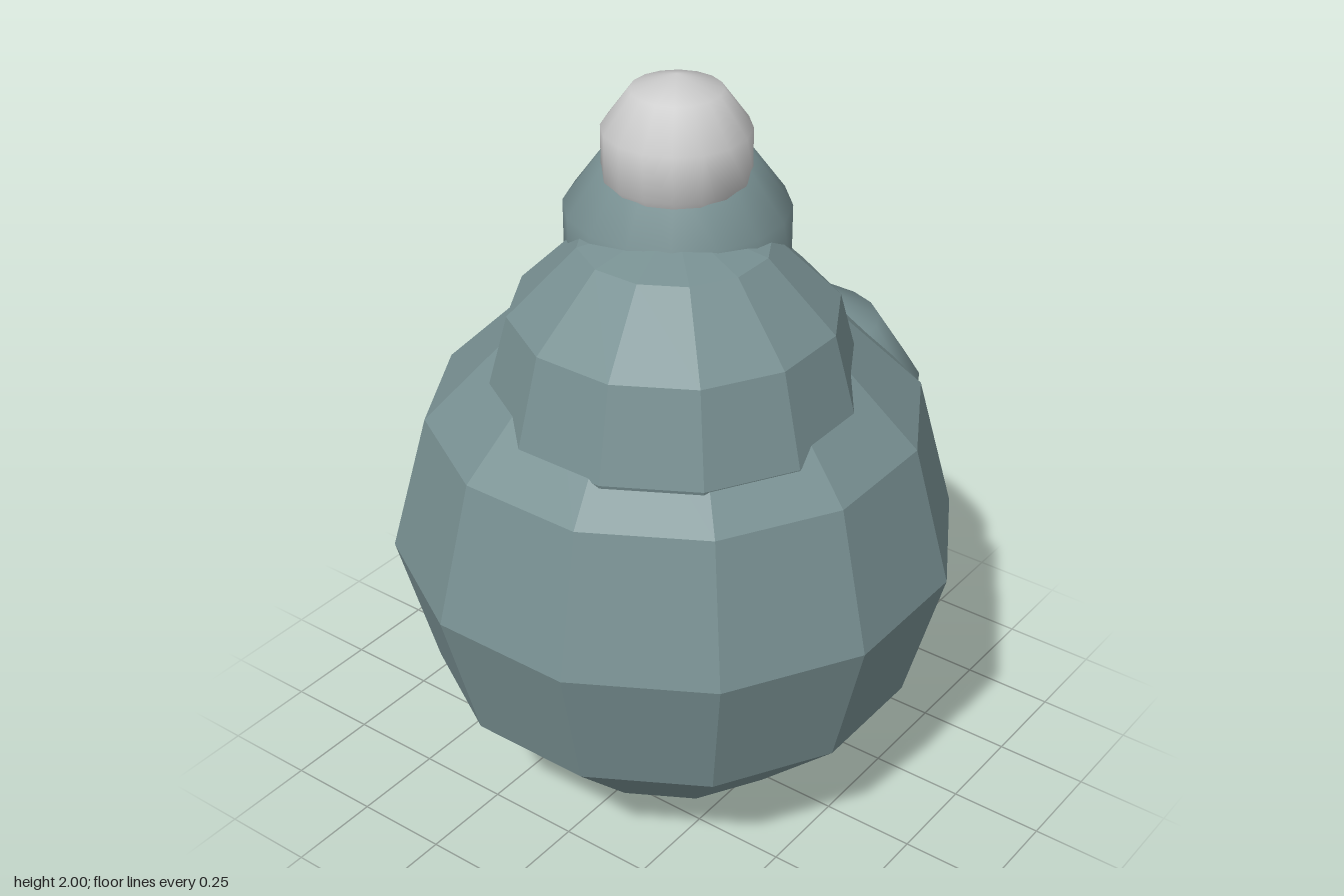
import * as THREE from 'three';

export function createModel() {
  const group = new THREE.Group();
  const teal = 0x789092;

  // One ball: centre, radii, segment counts, shading
  function ball(name, [x, y, z], [rx, ry, rz], segs, rows, color, flat) {
    const geometry = new THREE.SphereGeometry(1, segs, rows);
    geometry.rotateY(Math.PI / segs); // a flat side faces each axis
    geometry.scale(rx, ry, rz);
    const material = new THREE.MeshStandardMaterial({ color, flatShading: flat });
    const mesh = new THREE.Mesh(geometry, material);
    mesh.name = name;
    mesh.position.set(x, y, z);
    group.add(mesh);
  }

  // Large faceted belly and shoulders
  ball('belly', [-0.02, 0.745, 0], [0.74, 0.74, 0.74], 12, 6, teal, true);
  ball('shoulders', [-0.09, 1.2, 0.05], [0.478, 0.478, 0.478], 12, 6, teal, true);

  // Smooth-shaded head, side bump and pale top knob
  ball('head', [0.04, 1.55, -0.04], [0.297, 0.297, 0.3], 16, 5, teal, false);
  ball('sideBump', [0.47, 0.915, 0.075], [0.28, 0.34, 0.335], 16, 5, teal, false);
  ball('topKnob', [0, 1.806, -0.012], [0.194, 0.194, 0.194], 16, 5, 0xcccccc, false);

  return group;
}
